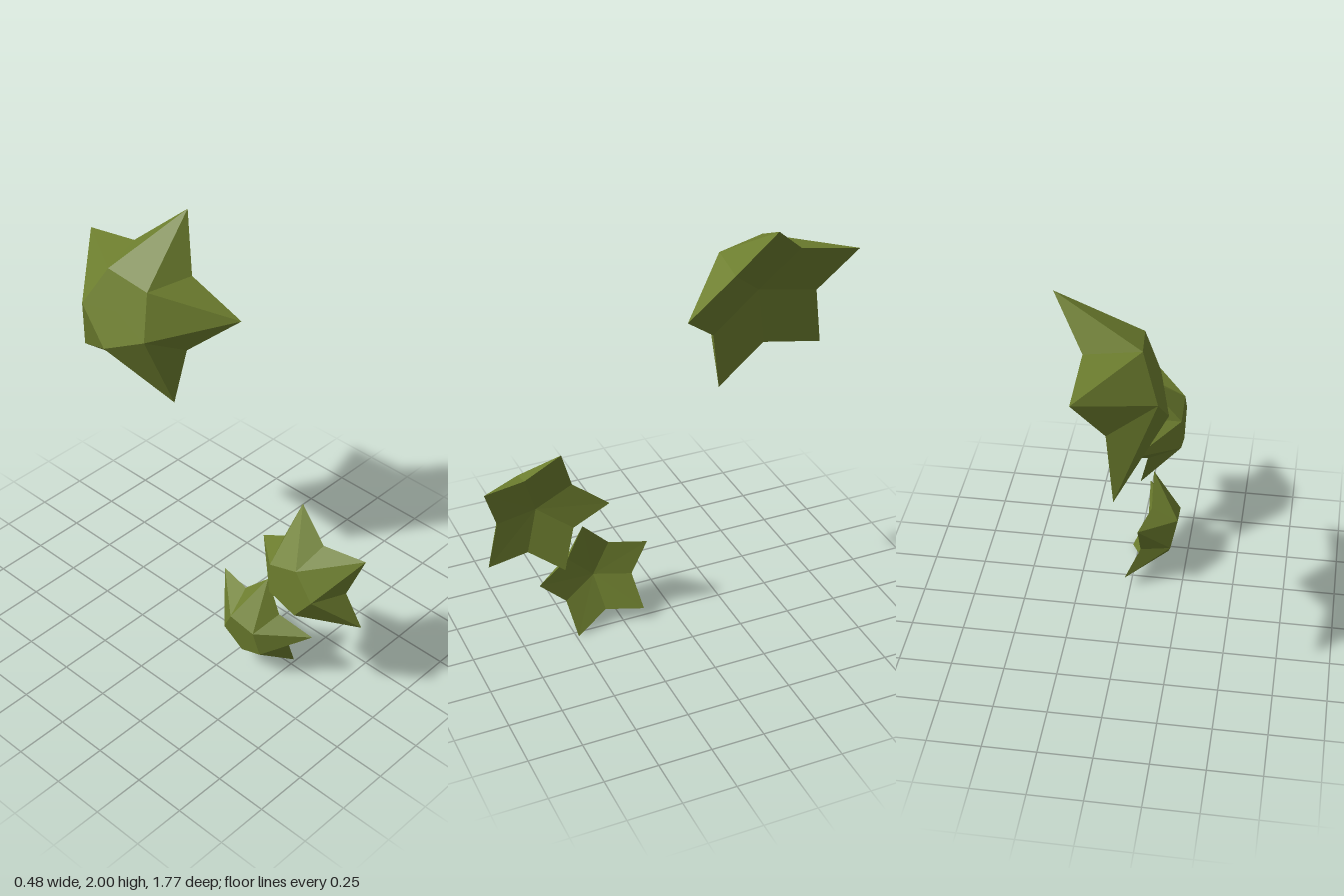
import * as THREE from 'three';

const olive = new THREE.MeshStandardMaterial({ color: 0x6e7f2f });
olive.name = 'olive green';

// Unit star facing +z with one tip on +y: dished front, tapered back ending in a flat pentagon.
function starGeometry() {
  const ring = (radius, z, turn) => Array.from({ length: 5 }, (_, i) => {
    const a = Math.PI / 2 + (i * 72 + turn) * Math.PI / 180;
    return new THREE.Vector3(Math.cos(a) * radius, Math.sin(a) * radius, z);
  });
  const tips = ring(1, 0, 0);
  const notches = ring(0.615, -0.13, 36);
  const back = ring(0.41, -0.61, 36);
  const hollow = new THREE.Vector3(0, 0, -0.27);
  const backCentre = new THREE.Vector3(0, 0, -0.61);
  const points = [];
  for (let i = 0; i < 5; i++) {
    const j = (i + 4) % 5;
    points.push(
      hollow, notches[j], tips[i], hollow, tips[i], notches[i], // front petal
      notches[i], tips[i], back[i], tips[i], notches[j], back[j], // sides of the ray
      back[i], tips[i], back[j], // outer slope
      backCentre, back[i], back[j], // flat back
    );
  }
  const geometry = new THREE.BufferGeometry().setFromPoints(points);
  geometry.computeVertexNormals();
  return geometry;
}

// Place a star by its centre, front direction and the direction of one tip.
function makeStar(name, geometry, radius, centre, front, tip) {
  const z = new THREE.Vector3(...front).normalize();
  const y = new THREE.Vector3(...tip);
  y.addScaledVector(z, -y.dot(z)).normalize();
  const x = new THREE.Vector3().crossVectors(y, z);
  const mesh = new THREE.Mesh(geometry, olive);
  mesh.name = name;
  mesh.quaternion.setFromRotationMatrix(new THREE.Matrix4().makeBasis(x, y, z));
  mesh.position.set(...centre);
  mesh.scale.setScalar(radius);
  return mesh;
}

export function createModel() {
  const group = new THREE.Group();
  group.name = 'starCluster';
  const geometry = starGeometry();
  group.add(
    makeStar('largeStar', geometry, 0.467, [0.084, 1.56, -0.456], [0.94, -0.305, -0.14], [0.156, 0.44, 0.066]),
    makeStar('middleStar', geometry, 0.326, [0, 0.682, 0.634], [1, 0, 0], [0, 0, -1]),
    makeStar('lowerStar', geometry, 0.29, [-0.02, 0.254, 0.363], [1, 0.213, 0.026], [-0.06, 0.286, 0.052]),
  );
  return group;
}
